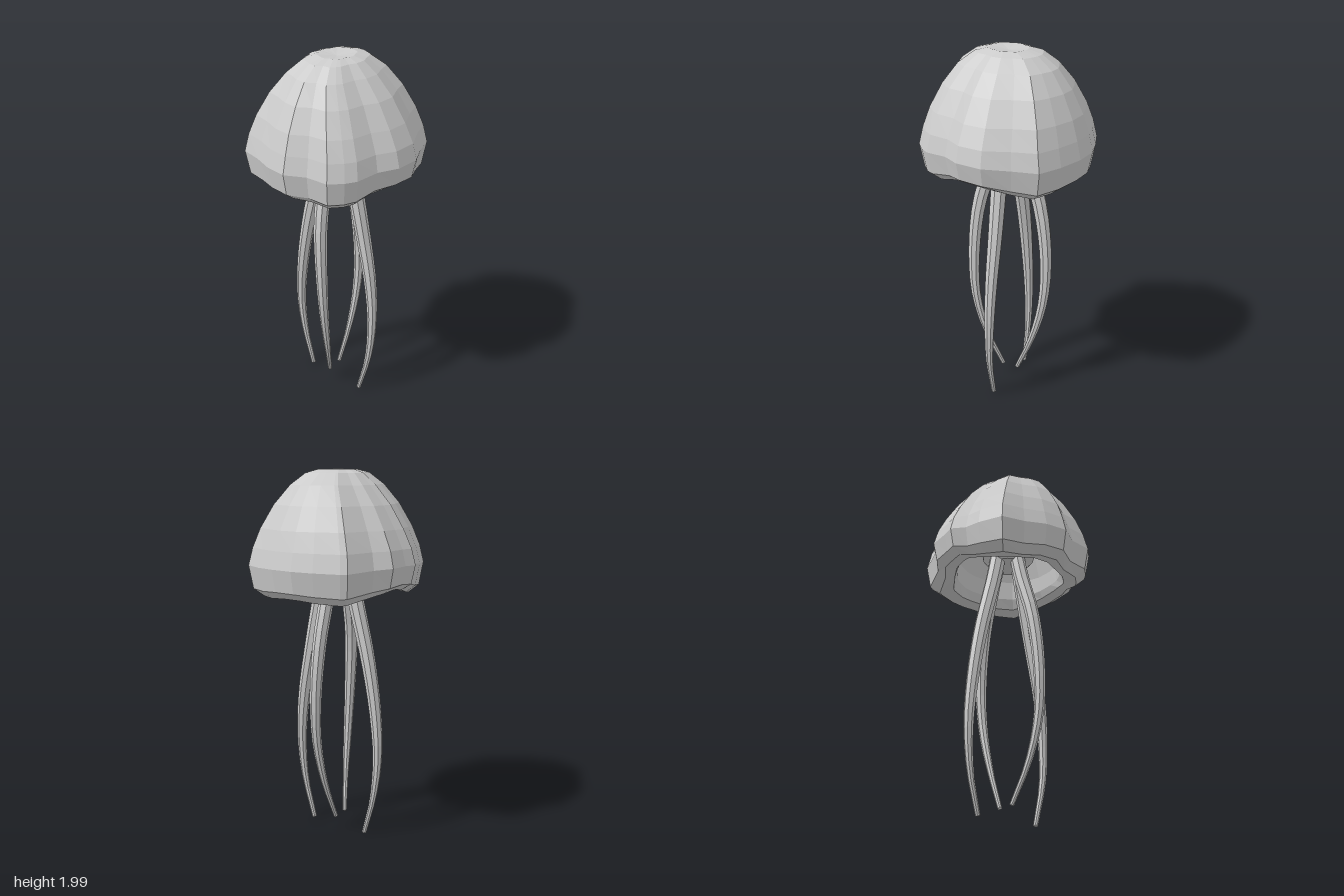
import * as THREE from 'three';

const material = new THREE.MeshStandardMaterial({ color: 0xcccccc, flatShading: true });

// Lobed plan outline of the bell at its widest, as [x, z]
const outline = [
  [0.05, 0.45], [0.15, 0.39], [0.27, 0.38], [0.33, 0.32], [0.365, 0.265], [0.385, 0.14],
  [0.44, 0.04], [0.44, -0.1], [0.37, -0.23], [0.32, -0.355], [0.2, -0.41], [0.07, -0.45],
  [-0.06, -0.455], [-0.17, -0.42], [-0.3, -0.365], [-0.33, -0.345], [-0.375, -0.19], [-0.435, -0.11],
  [-0.435, 0], [-0.445, 0.075], [-0.39, 0.14], [-0.37, 0.23], [-0.31, 0.36], [-0.185, 0.39], [-0.07, 0.435],
];

// Bell section from crown over the rim into the hollow:
// [scale, height, rim wave, roundness, stretch from x towards z]
const section = [
  [0, 1.985, 0, 0, 0], [0.22, 1.998, 0, 0, 0.05], [0.36, 1.98, 0, 0, 0.1], [0.53, 1.92, 0, 0, 0.1],
  [0.71, 1.82, 0, 0, 0.05], [0.86, 1.7, 0, 0, 0.02], [0.95, 1.6, 0.1, 0, 0], [1, 1.51, 0.3, 0, 0],
  [0.95, 1.395, 0.8, 0, 0], [0.84, 1.357, 1, 0.2, 0], [0.7, 1.37, 0.8, 0.7, 0], [0.66, 1.42, 0.4, 1, 0],
  [0.64, 1.52, 0, 1, 0], [0.56, 1.64, 0, 1, 0], [0.44, 1.7, 0, 1, 0], [0.36, 1.63, 0, 1, 0],
  [0.33, 1.52, 0, 1, 0], [0.22, 1.47, 0, 1, 0], [0, 1.46, 0, 1, 0],
];

function makeBell() {
  const positions = [], index = [], n = outline.length;
  for (const [scale, height, wave, round, stretch] of section) {
    for (const [x, z] of outline) {
      const a = Math.atan2(x, z);
      // Inner rings lose the lobes and become circular
      const s = scale * THREE.MathUtils.lerp(1, 0.44 / Math.hypot(x, z), round);
      // The rim dips at the four diagonals and rises most at the sides
      const lift = wave * (0.018 * Math.cos(4 * a) - 0.02 * Math.cos(2 * a));
      positions.push(x * s * (1 - stretch), height + lift, z * s * (1 + stretch));
    }
  }
  for (let i = 0; i < section.length - 1; i++) {
    for (let j = 0; j < n; j++) {
      const a = i * n + j, b = i * n + (j + 1) % n;
      // The first and last rings are points, so only one triangle is needed there
      if (i < section.length - 2) index.push(a, a + n, b + n);
      else index.push(a, a + n, b);
      if (i > 0 && i < section.length - 2) index.push(a, b + n, b);
    }
  }
  const g = new THREE.BufferGeometry();
  g.setAttribute('position', new THREE.Float32BufferAttribute(positions, 3));
  g.setIndex(index);
  g.computeVertexNormals();
  return g;
}

// Tapered arm along a smooth curve; the last ring closes the tip
function makeTentacle(points, widthX, widthZ) {
  const curve = new THREE.CatmullRomCurve3(points.map(p => new THREE.Vector3(...p)));
  const rings = 18, sides = 8;
  const g = new THREE.TubeGeometry(curve, rings, 1, sides, false);
  const pos = g.attributes.position, v = new THREE.Vector3();
  for (let i = 0; i <= rings; i++) {
    const t = i / rings;
    const centre = curve.getPointAt(t);
    const radius = i === rings ? 0 : 0.01 + 0.036 * (1 - Math.pow(t, 1.9));
    // The ring before the last sits almost at the end, giving a blunt tip
    const seat = i === rings - 1 ? curve.getPointAt(0.997) : centre;
    for (let j = 0; j <= sides; j++) {
      const k = i * (sides + 1) + j;
      v.fromBufferAttribute(pos, k).sub(centre).multiplyScalar(radius);
      pos.setXYZ(k, seat.x + v.x * widthX, seat.y + v.y, seat.z + v.z * widthZ);
    }
  }
  g.computeVertexNormals();
  return g;
}

const sideTentacles = {
  rightTentacle: [[-0.06, 1.58, 0], [-0.105, 1.36, 0.005], [-0.195, 1.0, 0.012], [-0.245, 0.7, 0.016], [-0.262, 0.45, 0.014], [-0.24, 0.22, 0.006], [-0.185, 0.005, 0]],
  leftTentacle: [[0.06, 1.58, 0], [0.105, 1.36, -0.008], [0.168, 1.05, -0.018], [0.225, 0.75, -0.022], [0.246, 0.5, -0.02], [0.232, 0.25, -0.01], [0.172, 0.005, 0]],
};
const middleTentacles = {
  frontTentacle: [[0.0, 1.58, 0.06], [0.012, 1.36, 0.105], [0.037, 1.1, 0.17], [0.06, 0.8, 0.19], [0.064, 0.55, 0.177], [0.038, 0.3, 0.122], [-0.014, 0.075, 0.043]],
  backTentacle: [[-0.01, 1.58, -0.06], [-0.024, 1.36, -0.12], [-0.026, 1.1, -0.19], [-0.023, 0.8, -0.222], [-0.018, 0.55, -0.205], [-0.016, 0.3, -0.137], [-0.02, 0.075, -0.043]],
};

export function createModel() {
  const group = new THREE.Group();
  const add = (name, geometry) => {
    const mesh = new THREE.Mesh(geometry, material);
    mesh.name = name;
    group.add(mesh);
  };
  add('bell', makeBell());
  for (const [name, points] of Object.entries(sideTentacles)) add(name, makeTentacle(points, 0.95, 1));
  for (const [name, points] of Object.entries(middleTentacles)) add(name, makeTentacle(points, 0.85, 0.95));
  return group;
}
